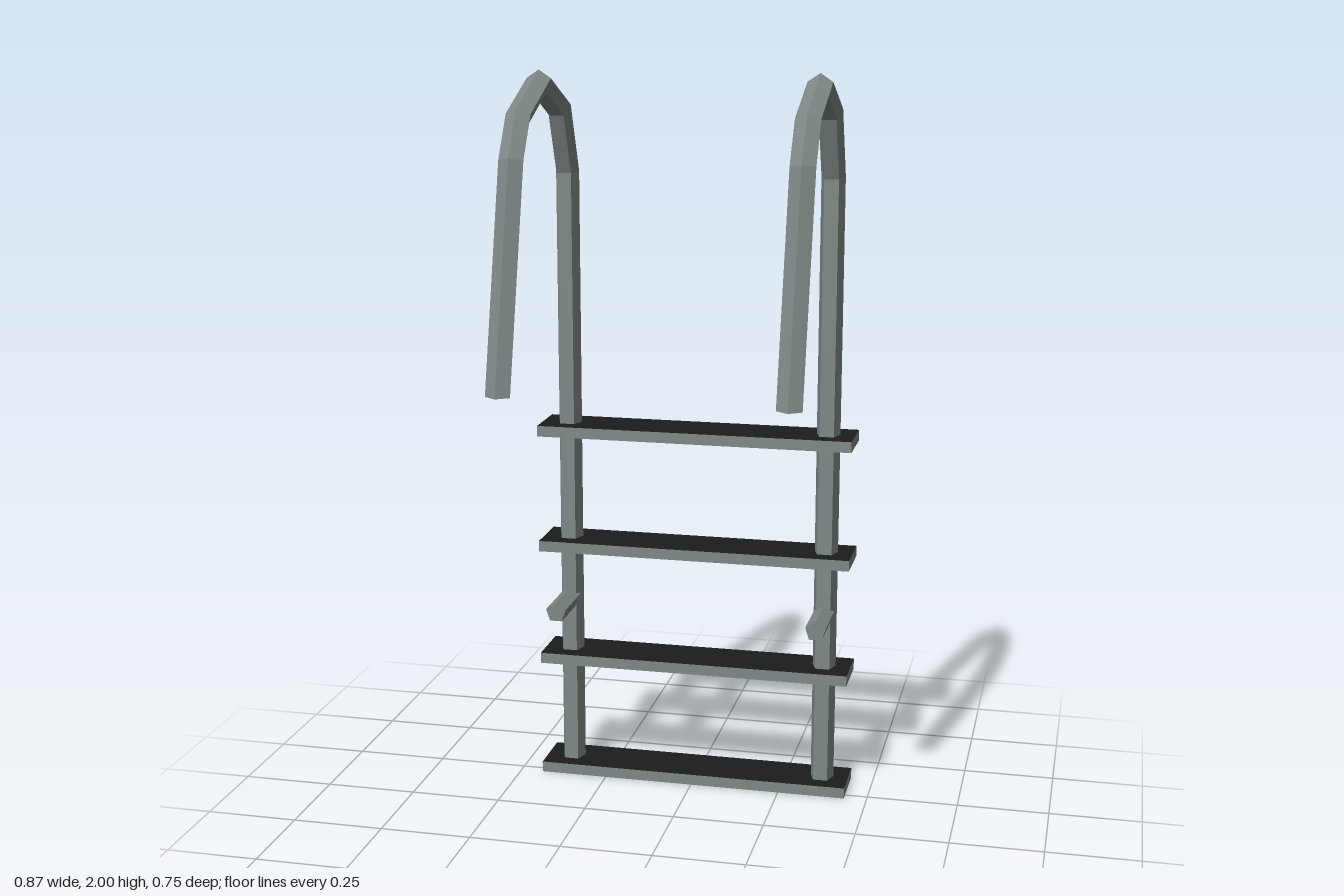
import * as THREE from 'three';

const steel = new THREE.MeshStandardMaterial({ color: 0x7f8987 });
steel.name = 'steel grey';
const grip = new THREE.MeshStandardMaterial({ color: 0x1c1c1c });
grip.name = 'grip black';

const SIDES = 5;
const RAIL_X = 0.363;

// Five-sided bar. Each ring is [ridge z, ridge y, flat z, flat y]:
// the sharp outer ridge and the flat side opposite it.
function pentagonBar(rings, radius) {
  const positions = [];
  const index = [];
  const span = 1 + Math.cos(Math.PI / SIDES);
  for (const [az, ay, bz, by] of rings) {
    const uz = (az - bz) / span, uy = (ay - by) / span;
    for (let i = 0; i < SIDES; i++) {
      const a = (i / SIDES) * Math.PI * 2;
      const k = Math.cos(a) - 1;
      positions.push(radius * Math.sin(a), ay + uy * k, az + uz * k);
    }
  }
  for (let r = 0; r < rings.length - 1; r++) {
    for (let i = 0; i < SIDES; i++) {
      const a = r * SIDES + i, b = r * SIDES + (i + 1) % SIDES;
      const c = a + SIDES, d = b + SIDES;
      index.push(a, c, d, a, d, b);
    }
  }
  // end caps
  const last = (rings.length - 1) * SIDES;
  for (let i = 1; i < SIDES - 1; i++) {
    index.push(0, i, i + 1, last, last + i + 1, last + i);
  }
  const indexed = new THREE.BufferGeometry();
  indexed.setAttribute('position', new THREE.Float32BufferAttribute(positions, 3));
  indexed.setIndex(index);
  const geometry = indexed.toNonIndexed();
  geometry.computeVertexNormals();
  return geometry;
}

export function createModel() {
  const group = new THREE.Group();
  group.name = 'poolLadder';

  // Rail: straight post, arch over the pool edge, sloping handle
  const railGeometry = pentagonBar([
    [-0.33, 0.01, -0.2685, 0.01],
    [-0.33, 1.722, -0.2685, 1.715],
    [-0.247, 1.917, -0.204, 1.873],
    [-0.048, 2.0, -0.048, 1.943],
    [0.15, 1.917, 0.109, 1.877],
    [0.225, 1.8, 0.167, 1.783],
    [0.373, 1.228, 0.313, 1.228],
  ], 0.034);

  // Short spacer that keeps the ladder off the wall
  const spacerGeometry = pentagonBar([
    [-0.29, 0.546, -0.29, 0.493],
    [-0.13, 0.546, -0.13, 0.493],
  ], 0.0293);

  for (const [side, sign] of [['left', 1], ['right', -1]]) {
    const rail = new THREE.Mesh(railGeometry, steel);
    rail.name = side + 'Rail';
    rail.position.x = sign * RAIL_X;
    const spacer = new THREE.Mesh(spacerGeometry, steel);
    spacer.name = side + 'Spacer';
    spacer.position.x = sign * RAIL_X;
    group.add(rail, spacer);
  }

  // Steps: grey edges, black grip on top and bottom
  const stepGeometry = new THREE.BoxGeometry(0.874, 0.03, 0.15);
  const stepMaterials = [steel, steel, grip, grip, steel, steel];
  for (let i = 0; i < 4; i++) {
    const step = new THREE.Mesh(stepGeometry, stepMaterials);
    step.name = 'step' + (i + 1);
    step.position.set(0, 0.015 + i * 0.331, -0.3);
    group.add(step);
  }

  return group;
}
